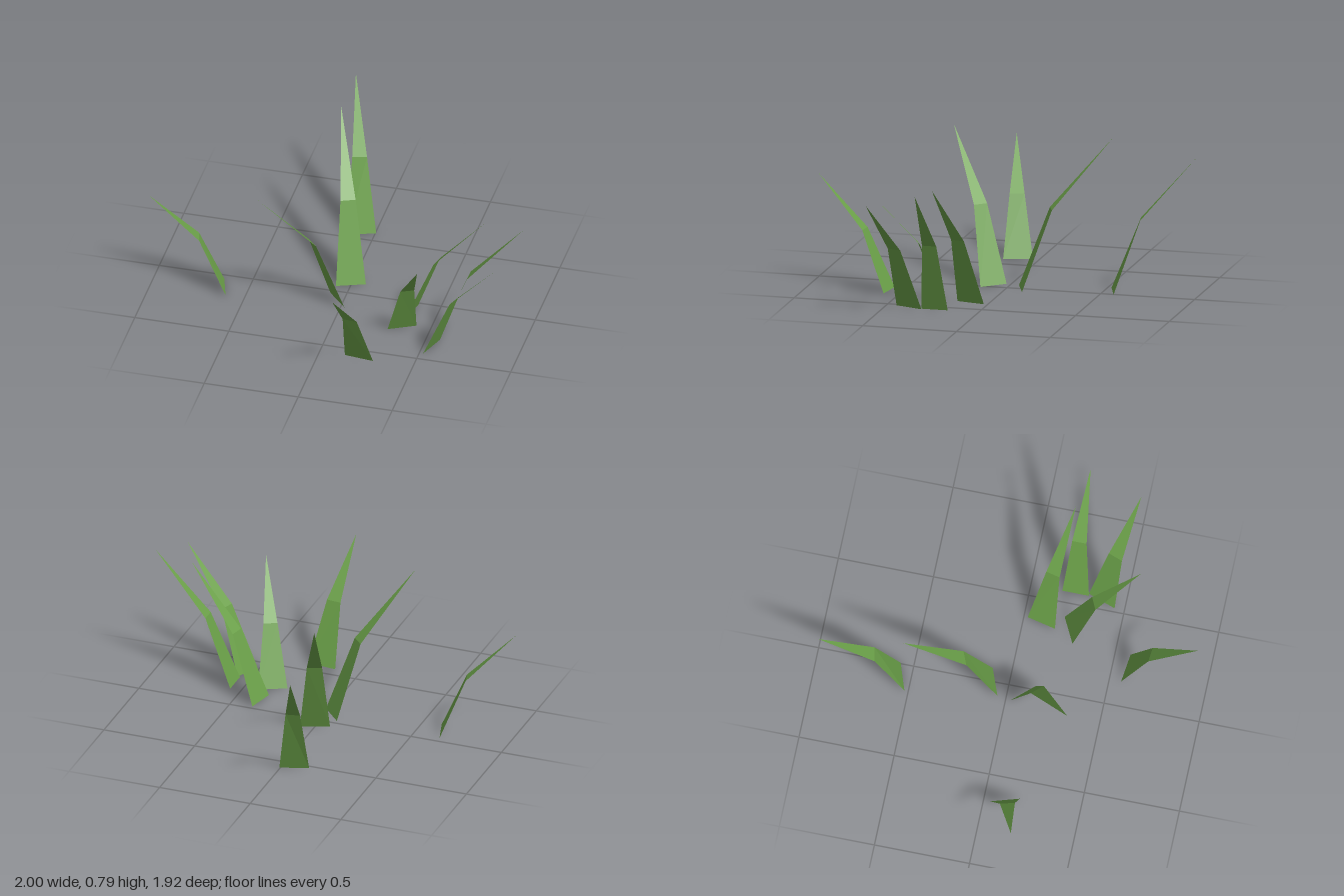
import * as THREE from 'three';

// Each blade: base edge, bend edge and tip as [x, z] pairs, with bend and tip heights
const BLADES = [
  { base: [[0.005, -0.57], [-0.14, -0.52]], bend: [[-0.075, -0.69], [-0.15, -0.675]], tip: [-0.205, -0.96], h: [0.38, 0.705] },
  { base: [[0.073, -0.10], [-0.072, -0.045]], bend: [[-0.017, -0.235], [-0.09, -0.205]], tip: [-0.168, -0.52], h: [0.42, 0.787] },
  { base: [[-0.645, 0.035], [-0.6, 0.182]], bend: [[-0.76, 0.11], [-0.74, 0.185]], tip: [-1.0, 0.217], h: [0.315, 0.575] },
  { base: [[-0.083, 0.024], [0.02, 0.136]], bend: [[-0.165, 0.15], [-0.112, 0.206]], tip: [-0.377, 0.385], h: [0.4, 0.757] },
  { base: [[0.382, 0.02], [0.348, 0.17]], bend: [[0.517, 0.09], [0.5, 0.163]], tip: [0.782, 0.19], h: [0.36, 0.683] },
  { base: [[0.56, 0.165], [0.56, 0.305]], bend: [[0.705, 0.187], [0.705, 0.263]], tip: [0.995, 0.224], h: [0.37, 0.698] },
  { base: [[0.572, 0.302], [0.52, 0.448]], bend: [[0.69, 0.383], [0.663, 0.457]], tip: [0.925, 0.505], h: [0.333, 0.618] },
  { base: [[0.422, 0.206], [0.286, 0.275]], bend: [[0.446, 0.345], [0.38, 0.376]], tip: [0.524, 0.585], h: [0.312, 0.582] },
  { base: [[0.134, 0.562], [0.288, 0.58]], bend: [[0.158, 0.7], [0.235, 0.708]], tip: [0.17, 0.958], h: [0.315, 0.587] },
];

// Two-segment tapering blade: a lower quad and a pointed upper triangle
function bladeGeometry({ base, bend, tip, h }) {
  const at = ([x, z], y) => [x, y, z];
  let [b0, b1] = base.map((p) => at(p, 0));
  let [m0, m1] = bend.map((p) => at(p, h[0]));
  const t = at(tip, h[1]);
  // Order the corners so the upper side is the front face
  const up = (m1[2] - m0[2]) * (t[0] - m0[0]) - (m1[0] - m0[0]) * (t[2] - m0[2]);
  if (up < 0) [b0, b1, m0, m1] = [b1, b0, m1, m0];
  const corners = [b0, b1, m1, b0, m1, m0, m0, m1, t];
  const geometry = new THREE.BufferGeometry();
  geometry.setAttribute('position', new THREE.Float32BufferAttribute(corners.flat(), 3));
  geometry.computeVertexNormals();
  return geometry;
}

export function createModel() {
  const group = new THREE.Group();
  group.name = 'grassTuft';
  const grassGreen = new THREE.MeshStandardMaterial({ color: 0x6a9f48, side: THREE.DoubleSide, flatShading: true });
  grassGreen.name = 'grassGreen';
  BLADES.forEach((blade, i) => {
    const mesh = new THREE.Mesh(bladeGeometry(blade), grassGreen);
    mesh.name = `grassBlade${i + 1}`;
    group.add(mesh);
  });
  return group;
}
